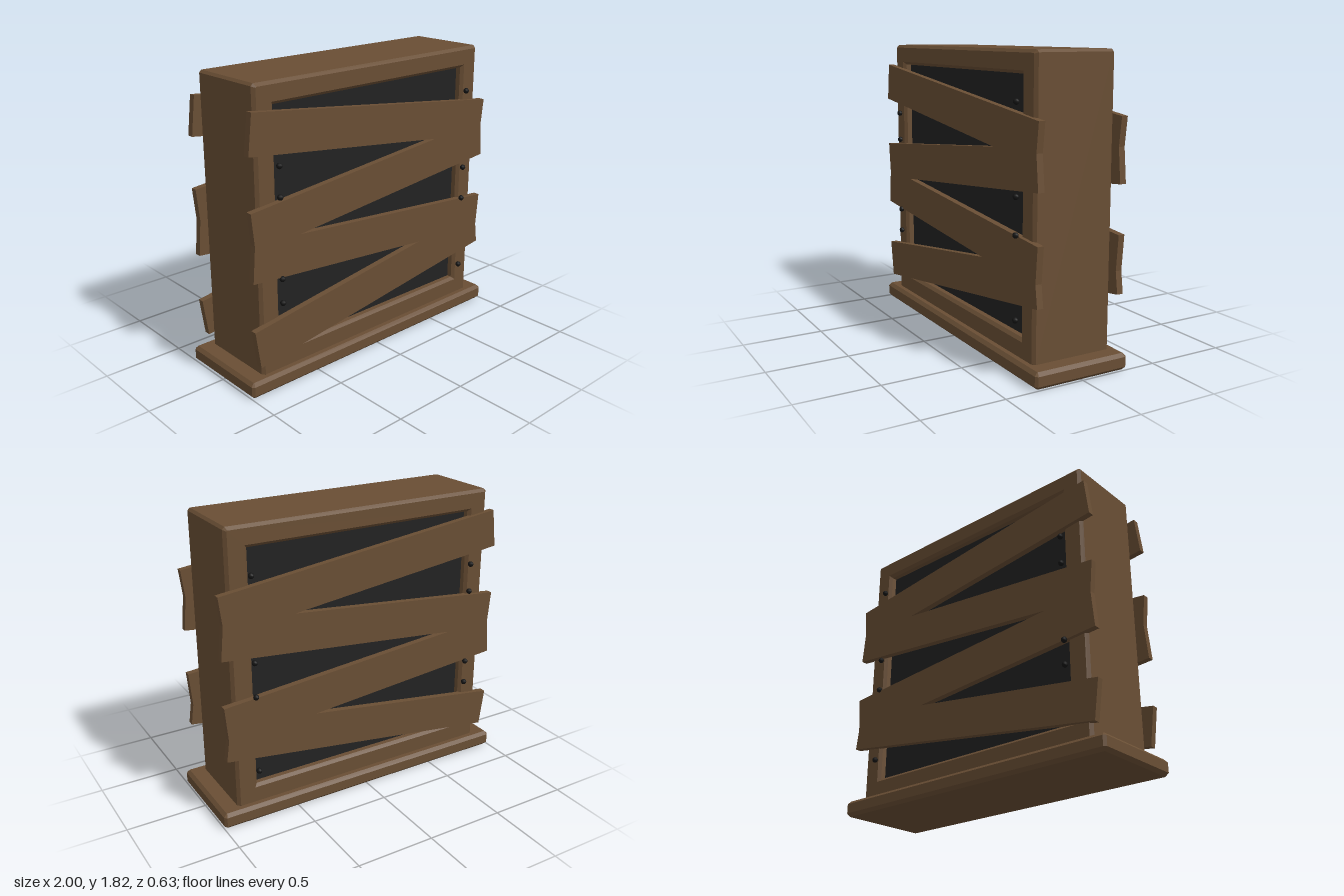
import * as THREE from 'three';

const wood = new THREE.MeshStandardMaterial({ color: 0x694e34 });
wood.name = 'brown wood';
const dark = new THREE.MeshStandardMaterial({ color: 0x222222 });
dark.name = 'dark pane';
const iron = new THREE.MeshStandardMaterial({ color: 0x141414 });
iron.name = 'black iron';

function part(name, geometry, material, parent) {
  const mesh = new THREE.Mesh(geometry, material);
  mesh.name = name;
  parent.add(mesh);
  return mesh;
}

// Rectangle outline with clipped corners
function clippedRect(x0, y0, x1, y1, c) {
  return new THREE.Shape([
    [x0 + c, y0], [x1 - c, y0], [x1, y0 + c], [x1, y1 - c],
    [x1 - c, y1], [x0 + c, y1], [x0, y1 - c], [x0, y0 + c],
  ].map(([x, y]) => new THREE.Vector2(x, y)));
}

// Chamfered slab centred on its depth axis
function slab(shape, depth, bevel) {
  const geometry = new THREE.ExtrudeGeometry(shape, {
    depth: depth - 2 * bevel, bevelEnabled: true, bevelSegments: 1,
    bevelThickness: bevel, bevelSize: bevel, bevelOffset: -bevel,
  });
  return geometry.translate(0, 0, bevel - depth / 2);
}

// Boards: [centre height, tilt]
const BOARDS = [[1.452, -0.119], [1.105, 0.0975], [0.7525, -0.085], [0.43, 0.14]];
// Nails: [x, y]
const NAILS = [
  [0.76, 1.545], [-0.76, 1.36], [-0.76, 1.18], [0.76, 1.03],
  [0.76, 0.815], [-0.76, 0.69], [-0.76, 0.54], [0.76, 0.33],
];

export function createModel() {
  const model = new THREE.Group();
  model.name = 'boardedWindow';

  // Sill
  const sill = part('sill', slab(clippedRect(-1, -0.31, 1, 0.31, 0.015), 0.1, 0.02), wood, model);
  sill.rotation.x = -Math.PI / 2;
  sill.position.y = 0.05;

  // Frame with a chamfered opening
  const outline = clippedRect(-0.89, 0.08, 0.89, 1.82, 0.015);
  outline.holes.push(new THREE.Path([
    new THREE.Vector2(-0.755, 0.215), new THREE.Vector2(-0.755, 1.69),
    new THREE.Vector2(0.755, 1.69), new THREE.Vector2(0.755, 0.215),
  ]));
  part('frame', slab(outline, 0.52, 0.018), wood, model);

  // Recessed pane
  part('pane', new THREE.BoxGeometry(1.52, 1.485, 0.42), dark, model).position.y = 0.9525;

  // Boards and nails on both faces
  const boardGeometry = new THREE.BoxGeometry(1.905, 0.238, 0.04);
  const nailGeometry = new THREE.SphereGeometry(0.018, 8, 6);
  for (const [side, sign] of [['front', 1], ['back', -1]]) {
    const group = new THREE.Group();
    group.name = side + 'Boarding';
    BOARDS.forEach(([y, tilt], i) => {
      const board = part(`${side}Board${i + 1}`, boardGeometry, wood, group);
      board.position.set(0, y, sign * 0.27);
      board.rotation.set(0, 0.007, tilt, 'YXZ');
    });
    NAILS.forEach(([x, y], i) => {
      part(`${side}Nail${i + 1}`, nailGeometry, iron, group).position.set(x, y, sign * 0.298);
    });
    model.add(group);
  }
  return model;
}
